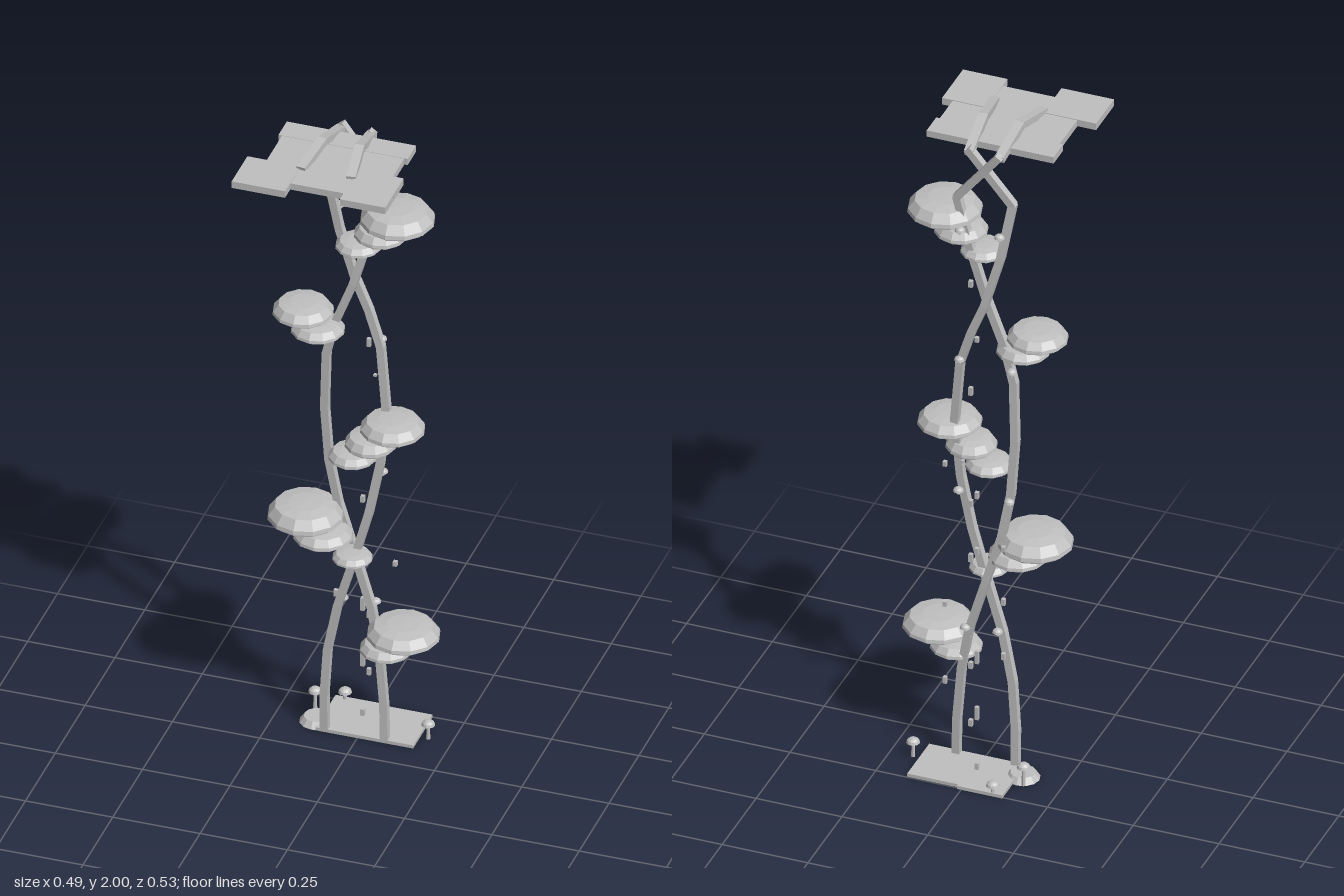
import * as THREE from 'three';

const stone = new THREE.MeshStandardMaterial({ color: 0xc0c0c0, flatShading: true });
stone.name = 'pale grey';

function add(parent, name, geometry, x, y, z) {
  const mesh = new THREE.Mesh(geometry, stone);
  mesh.name = name;
  mesh.position.set(x, y, z);
  parent.add(mesh);
  return mesh;
}

// Box given by its limits on each axis
function slab(parent, name, x0, x1, y0, y1, z0, z1) {
  return add(parent, name, new THREE.BoxGeometry(x1 - x0, y1 - y0, z1 - z0),
    (x0 + x1) / 2, (y0 + y1) / 2, (z0 + z1) / 2);
}

// Chain of square beams following a list of points
function beams(parent, name, points, width, depth) {
  const group = new THREE.Group();
  group.name = name;
  const pts = points.map(p => new THREE.Vector3(...p));
  for (let i = 0; i < pts.length - 1; i++) {
    const length = pts[i].distanceTo(pts[i + 1]);
    const mid = pts[i].clone().lerp(pts[i + 1], 0.5);
    const beam = add(group, name + 'Segment', new THREE.BoxGeometry(width, depth, length + 0.005), mid.x, mid.y, mid.z);
    const dir = pts[i + 1].clone().sub(pts[i]);
    if (Math.abs(dir.y) > Math.abs(dir.z)) beam.up.set(0, 0, 1);
    beam.lookAt(pts[i + 1]);
  }
  parent.add(group);
}

// Wide shelf cap with a recessed underside and a shallow dome
function shelfCap(parent, x, y, r, h) {
  const profile = [[0, 0], [0.86, 0], [0.88, 0.2], [1, 0.22], [0.98, 0.42], [0.8, 0.86], [0.45, 0.97], [0, 1]]
    .map(([a, b]) => new THREE.Vector2(a * r, b * h));
  add(parent, 'shelfCap', new THREE.LatheGeometry(profile, 12), x, y, -0.057);
}

// Small mushroom with a thin stem
function mushroom(parent, name, x, y, z, height, r) {
  const group = new THREE.Group();
  group.name = name;
  const stemHeight = height - r * 0.8;
  add(group, 'stem', new THREE.CylinderGeometry(r * 0.25, r * 0.32, stemHeight, 8), 0, stemHeight / 2, 0);
  const dome = [[0, 0], [1, 0], [0.87, 0.4], [0.5, 0.7], [0, 0.8]].map(([a, b]) => new THREE.Vector2(a * r, b * r));
  add(group, 'cap', new THREE.LatheGeometry(dome, 12), 0, stemHeight, 0);
  group.position.set(x, y, z);
  parent.add(group);
}

export function createModel() {
  const model = new THREE.Group();
  model.name = 'twistedMushroomTower';

  // Ground plates and the round pad
  slab(model, 'groundPlate', -0.12, 0.012, 0, 0.01, -0.255, -0.085);
  slab(model, 'groundPlate', 0.012, 0.16, 0, 0.01, -0.247, -0.085);
  add(model, 'roundPad', new THREE.CylinderGeometry(0.035, 0.048, 0.018, 12), -0.132, 0.009, -0.132);
  mushroom(model, 'groundMushroom', -0.152, 0.005, -0.178, 0.072, 0.019);
  mushroom(model, 'groundMushroom', -0.09, 0.005, -0.247, 0.04, 0.019);
  mushroom(model, 'groundMushroom', 0.183, 0, -0.145, 0.06, 0.019);

  // Two strands that cross twice, and again under the roof
  beams(model, 'strand', [
    [-0.095, 0.01, -0.092], [-0.095, 0.12, -0.09], [-0.085, 0.27, -0.088], [-0.055, 0.42, -0.084],
    [-0.005, 0.59, -0.083], [0.035, 0.74, -0.085], [0.065, 0.9, -0.09], [0.08, 1.08, -0.096],
    [0.062, 1.27, -0.103], [0.027, 1.38, -0.106], [-0.01, 1.47, -0.106], [-0.055, 1.63, -0.1],
    [-0.085, 1.8, -0.088], [0.04, 1.96, -0.1]], 0.022, 0.022);
  beams(model, 'strand', [
    [0.076, 0.01, -0.095], [0.073, 0.12, -0.098], [0.058, 0.29, -0.102], [0.035, 0.42, -0.105],
    [-0.01, 0.57, -0.107], [-0.06, 0.74, -0.105], [-0.085, 0.88, -0.1], [-0.095, 1.05, -0.094],
    [-0.088, 1.23, -0.087], [-0.06, 1.34, -0.084], [-0.01, 1.47, -0.083], [0.035, 1.63, -0.09],
    [0.072, 1.8, -0.1], [-0.055, 1.96, -0.112]], 0.022, 0.022);

  // Arms bending over the roof
  beams(model, 'roofArm', [[0.036, 1.95, -0.105], [0.045, 1.988, 0.025], [0.061, 1.965, 0.145]], 0.026, 0.02);
  beams(model, 'roofArm', [[-0.053, 1.95, -0.105], [-0.062, 1.988, 0.025], [-0.081, 1.965, 0.145]], 0.026, 0.02);

  // Roof plates
  slab(model, 'roofBack', -0.195, 0.175, 1.946, 1.966, -0.066, 0.004);
  slab(model, 'roofMiddle', -0.185, 0.165, 1.945, 1.965, 0.004, 0.22);
  slab(model, 'roofCorner', -0.24, -0.087, 1.946, 1.967, 0.133, 0.265);
  slab(model, 'roofCorner', 0.066, 0.196, 1.946, 1.967, 0.1, 0.254);

  // Shelf caps: x, bottom y, radius, height
  [[0.125, 1.708, 0.104, 0.056], [0.078, 1.655, 0.075, 0.042], [0.013, 1.606, 0.064, 0.032],
    [-0.145, 1.358, 0.085, 0.044], [-0.103, 1.31, 0.075, 0.038],
    [0.111, 1.03, 0.09, 0.046], [0.048, 0.97, 0.072, 0.043], [-0.004, 0.92, 0.067, 0.035],
    [-0.138, 0.697, 0.106, 0.058], [-0.088, 0.646, 0.083, 0.042], [-0.004, 0.594, 0.056, 0.027],
    [0.142, 0.37, 0.102, 0.05], [0.092, 0.316, 0.073, 0.038]].forEach(c => shelfCap(model, ...c));

  // Buds growing on the strands
  [[-0.048, 0.42, -0.107], [0.042, 0.42, -0.118], [0.06, 1.275, -0.115], [-0.088, 1.262, -0.105],
    [-0.055, 1.69, -0.11], [0.058, 1.69, -0.115], [0.065, 0.85, -0.11], [-0.085, 0.85, -0.115]]
    .forEach(p => mushroom(model, 'bud', ...p, 0.022, 0.015));

  // Floating motes behind the strands: x, centre y, height
  [[-0.013, 0.03, 0.02], [-0.013, 0.2, 0.04], [0.005, 0.165, 0.02], [-0.013, 0.38, 0.04],
    [0.005, 0.35, 0.02], [-0.09, 0.4, 0.02], [0.08, 0.285, 0.02], [-0.09, 0.575, 0.02],
    [0.08, 0.53, 0.015], [-0.013, 0.72, 0.02], [0.005, 0.695, 0.025], [-0.09, 0.745, 0.015],
    [-0.013, 0.9, 0.02], [0.005, 0.87, 0.02], [0.08, 0.98, 0.015], [0.005, 1.23, 0.025],
    [-0.013, 1.4, 0.015], [0.005, 1.575, 0.02]].forEach(([x, y, h]) =>
    add(model, 'mote', new THREE.BoxGeometry(0.011, h, 0.011), x, y, -0.17));
  add(model, 'mote', new THREE.BoxGeometry(0.009, 0.006, 0.009), -0.009, 1.063, -0.263);

  return model;
}
